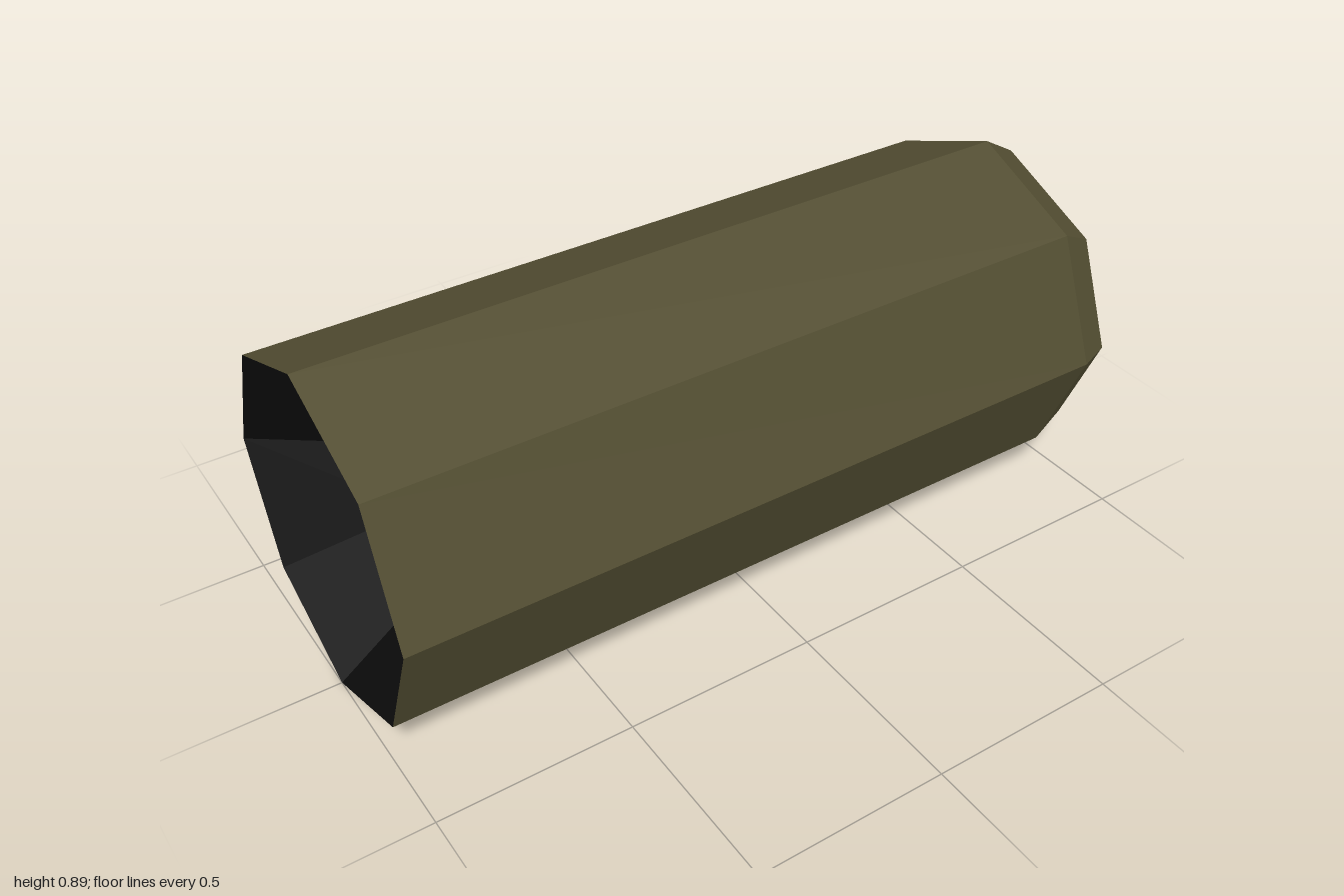
import * as THREE from 'three';

const CENTRE_Y = 0.445;

// Octagonal ring around the x axis: corner reach (y, z) and diagonal corner (dy, dz)
function octagon(x, ry, rz, dy, dz) {
  return [[ry, 0], [dy, dz], [0, rz], [-dy, dz], [-ry, 0], [-dy, -dz], [0, -rz], [dy, -dz]]
    .map(([y, z]) => new THREE.Vector3(x, CENTRE_Y + y, z));
}

function oval(x, ry, rz, y, z, sides = 24) {
  return Array.from({ length: sides }, (_, i) => {
    const a = (i / sides) * Math.PI * 2;
    return new THREE.Vector3(x, y + Math.cos(a) * ry, z + Math.sin(a) * rz);
  });
}

const point = (x, sides = 8, y = CENTRE_Y, z = 0) =>
  Array.from({ length: sides }, () => new THREE.Vector3(x, y, z));

// Flat-faced skin through a sequence of rings
function loft(name, material, ...rings) {
  const pts = [];
  for (let r = 0; r < rings.length - 1; r++) {
    const a = rings[r], b = rings[r + 1], n = a.length;
    for (let i = 0; i < n; i++) {
      const j = (i + 1) % n;
      for (const tri of [[a[i], a[j], b[j]], [a[i], b[j], b[i]]]) {
        if (new THREE.Triangle(...tri).getArea() > 1e-9) pts.push(...tri);
      }
    }
  }
  const geometry = new THREE.BufferGeometry().setFromPoints(pts);
  geometry.computeVertexNormals();
  const mesh = new THREE.Mesh(geometry, material);
  mesh.name = name;
  return mesh;
}

export function createModel() {
  const mat = (name, color) => new THREE.MeshStandardMaterial({ name, color });
  const olive = mat('dark olive', 0x534e32);
  const khaki = mat('khaki', 0x7a733f);
  const brass = mat('pale brass', 0xd8c771);
  const black = mat('black', 0x0a0a0a);

  const model = new THREE.Group();
  model.name = 'casing';

  const mouth = octagon(-1, 0.445, 0.445, 0.315, 0.315);
  const shoulder = octagon(0.91, 0.445, 0.445, 0.315, 0.315);
  const rimOuter = octagon(1, 0.393, 0.41, 0.27, 0.3);
  const rimInner = octagon(1, 0.328, 0.367, 0.214, 0.28);
  const floorEdge = octagon(0.9, 0.328, 0.367, 0.214, 0.28);
  const cavityEnd = octagon(-0.7, 0.223, 0.223, 0.158, 0.158);

  model.add(
    // Eight-sided body with a bevelled end
    loft('body', olive, mouth, shoulder, rimOuter),
    // Flat rim around the recessed end
    loft('rim', khaki, rimOuter, rimInner),
    loft('recess', olive, rimInner, floorEdge, point(0.9)),
    // Tapered dark hollow at the other end
    loft('hollow', black, point(-0.7), cavityEnd, mouth),
    // Oval plate and its bright centre
    loft('ovalPlate', khaki, oval(0.9, 0.183, 0.11, 0.448, -0.01),
      oval(0.904, 0.183, 0.11, 0.448, -0.01), point(0.904, 24, 0.448, -0.01)),
    loft('centreSpot', brass, oval(0.904, 0.049, 0.034, 0.452, -0.004),
      oval(0.908, 0.049, 0.034, 0.452, -0.004), point(0.908, 24, 0.452, -0.004)),
  );
  return model;
}
